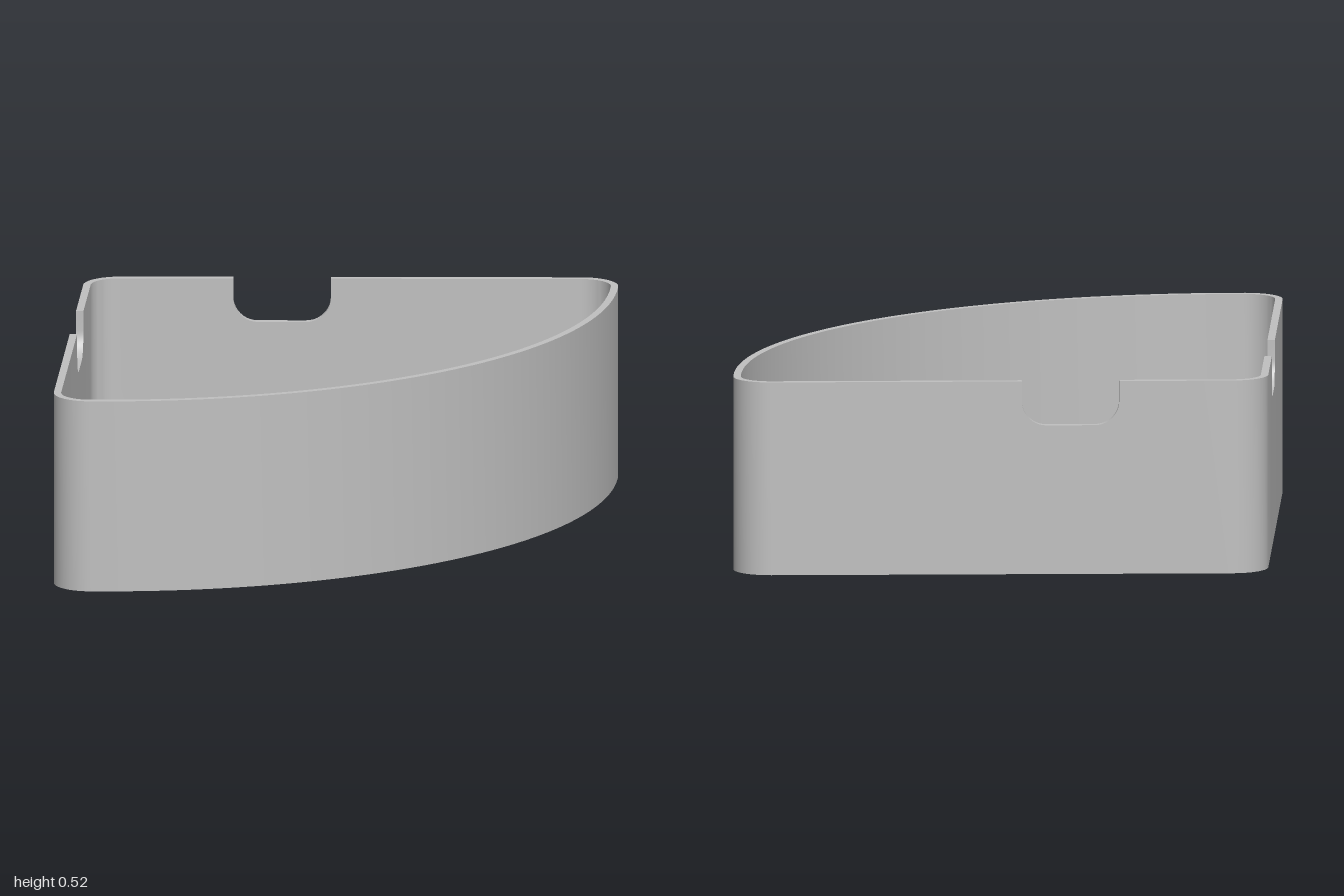
import * as THREE from 'three';
import { toCreasedNormals } from 'three/addons/utils/BufferGeometryUtils.js';

const H = 0.525, WALL = 0.02, FLOOR = 0.02, R = 0.1; // height, thicknesses, outer corner radius
const apex = [-0.61, 0], corner = [0.24, 0.9], arcCentre = [-0.67, 0];
const NOTCH = { from: 0.303, to: 0.565, bottom: 0.405, r: 0.066 }; // distances along a straight side

// Stations around the outline: outer point, outward normal and wall-top height
function buildStations() {
  const list = [];
  const add = (c, r, a, top = H) => {
    const n = [Math.cos(a), Math.sin(a)];
    list.push({ x: c[0] + r * n[0], z: c[1] + r * n[1], n, top });
  };
  const arc = (c, r, a0, a1, steps) => {
    for (let i = 0; i <= steps; i++) add(c, r, a0 + (a1 - a0) * i / steps);
  };

  // Notch profile as [distance from apex, top height]
  const { from, to, bottom, r } = NOTCH;
  const profile = [[from, H]];
  for (let i = 0; i <= 10; i++) {
    const a = i / 10 * Math.PI / 2;
    profile.push([from + r - r * Math.cos(a), bottom + r - r * Math.sin(a)]);
  }
  for (let i = 10; i >= 0; i--) {
    const a = i / 10 * Math.PI / 2;
    profile.push([to - r + r * Math.cos(a), bottom + r - r * Math.sin(a)]);
  }
  profile.push([to, H]);

  const slope = Math.atan2(corner[1], corner[0] - apex[0]);
  const side = slope + Math.PI / 2;
  const dx = corner[0] - arcCentre[0];
  const half = Math.atan2(corner[1], dx);
  const straight = (sign, pts) => pts.forEach(([d, top]) => add(
    [apex[0] + d * Math.cos(slope), sign * d * Math.sin(slope)], R, sign * side, top));

  arc(arcCentre, R + Math.hypot(dx, corner[1]), -half, half, 64);
  arc(corner, R, half, side, 14);
  straight(1, [...profile].reverse());
  arc(apex, R, side, 2 * Math.PI - side, 14);
  straight(-1, profile);
  arc([corner[0], -corner[1]], R, 2 * Math.PI - side, 2 * Math.PI - half, 14);
  return list;
}

// Smooth geometry with sharp edges from a list of triangles, dropping empty ones
function fromTriangles(tris) {
  const pos = [];
  for (const t of tris) {
    if (new THREE.Triangle(...t).getArea() > 1e-9) t.forEach(p => pos.push(p.x, p.y, p.z));
  }
  const g = new THREE.BufferGeometry();
  g.setAttribute('position', new THREE.Float32BufferAttribute(pos, 3));
  return toCreasedNormals(g, Math.PI / 6);
}

export function createModel() {
  const group = new THREE.Group();
  group.name = 'wedgeTray';
  const grey = new THREE.MeshStandardMaterial({ color: 0xc0c0c0 });
  grey.name = 'grey';

  const sections = buildStations().map(({ x, z, n, top }) => {
    const ix = x - WALL * n[0], iz = z - WALL * n[1];
    return [
      new THREE.Vector3(x, 0, z), new THREE.Vector3(x, top, z),
      new THREE.Vector3(ix, top, iz), new THREE.Vector3(ix, FLOOR, iz),
    ];
  });

  const walls = [], base = [], floor = [];
  const low = new THREE.Vector3(0, 0, 0), high = new THREE.Vector3(0, FLOOR, 0);
  sections.forEach((s, i) => {
    const t = sections[(i + 1) % sections.length];
    // Outer face, rim and inner face
    for (let k = 0; k < 3; k++) {
      walls.push([s[k], s[k + 1], t[k + 1]], [s[k], t[k + 1], t[k]]);
    }
    base.push([low, s[0], t[0]]);
    floor.push([high, t[3], s[3]]);
  });

  const parts = { notchedWall: walls, underside: base, trayFloor: floor };
  for (const [name, tris] of Object.entries(parts)) {
    const mesh = new THREE.Mesh(fromTriangles(tris), grey);
    mesh.name = name;
    group.add(mesh);
  }
  return group;
}
